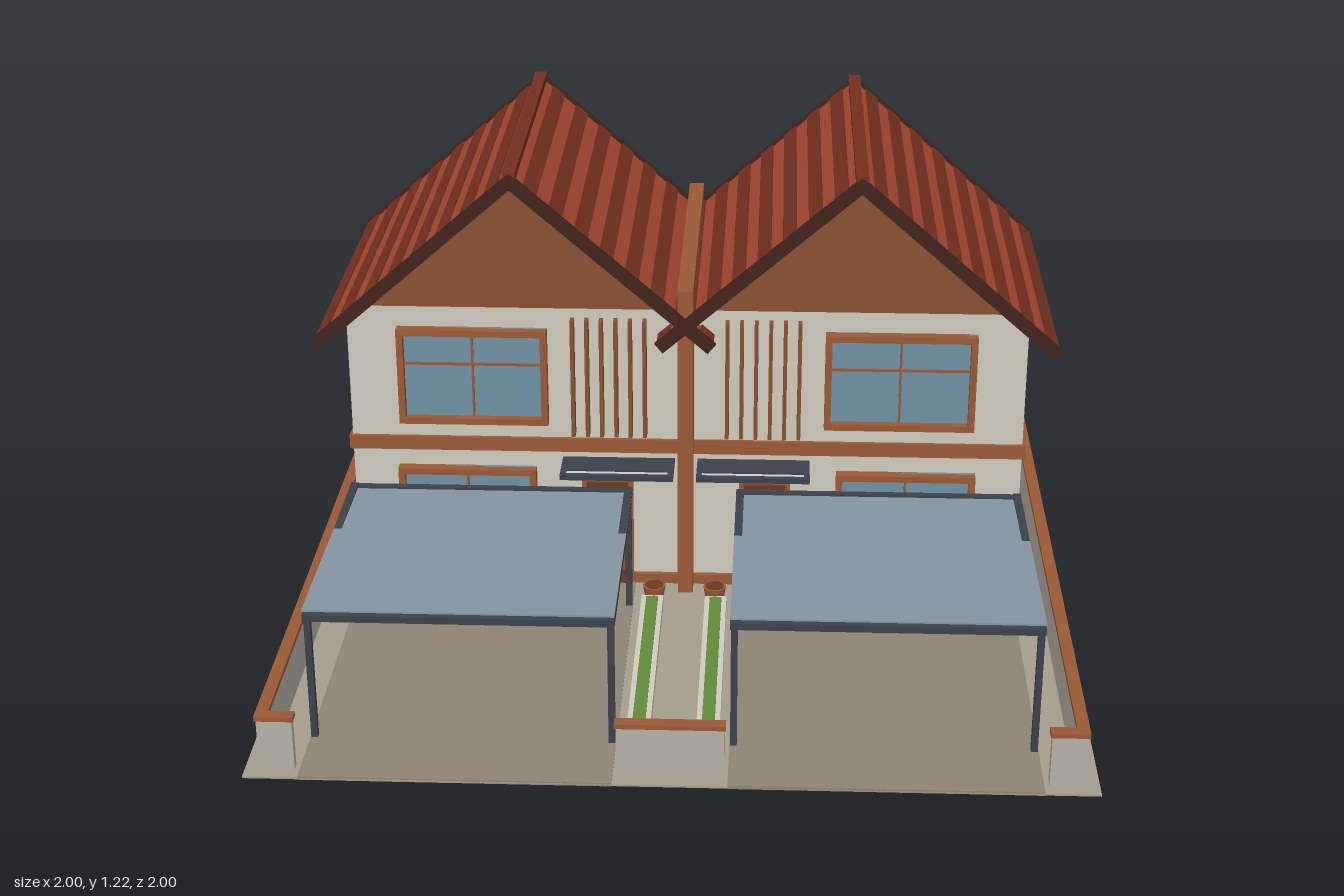
import * as THREE from 'three';

const COL = {
  wall: 0xcfcabd, trim: 0x9a5936, gable: 0x87502f, roof: 0xa3452f, tile: 0x73301f, dark: 0x40221a,
  glass: 0x6f91a5, metal: 0x3c414b, panel: 0x8496a3, paving: 0xa59e8e, drive: 0x8f8474,
  grass: 0x618a3a, fence: 0xb5b0a5, door: 0x6b3a22, leaf: 0x3d6a2c, light: 0xc4ced4,
};
const cache = {};
function mat(color) {
  return (cache[color] ??= new THREE.MeshStandardMaterial({ color, side: THREE.DoubleSide }));
}
function add(parent, name, geo, color) {
  const m = new THREE.Mesh(geo, mat(color));
  m.name = name;
  parent.add(m);
  return m;
}
// Box given by its limits
function box(parent, name, x0, x1, y0, y1, z0, z1, color) {
  const m = add(parent, name, new THREE.BoxGeometry(Math.abs(x1 - x0), y1 - y0, z1 - z0), color);
  m.position.set((x0 + x1) / 2, (y0 + y1) / 2, (z0 + z1) / 2);
  return m;
}
function group(parent, name) {
  const g = new THREE.Group();
  g.name = name;
  parent.add(g);
  return g;
}
function prism(points, z0, z1) {
  const s = new THREE.Shape(points.map(([x, y]) => new THREE.Vector2(x, y)));
  return new THREE.ExtrudeGeometry(s, { depth: z1 - z0, bevelEnabled: false }).translate(0, 0, z0);
}

// Framed front window with cross bars
function frontWindow(parent, s, x0, x1, y0, y1, barY) {
  const g = group(parent, 'frontWindow'), f = 0.017, mid = (x0 + x1) / 2;
  const b = (n, a, c, y, t, d, col) => box(g, n, s * a, s * c, y, t, -0.005, d, col);
  b('windowGlass', x0, x1, y0, y1, 0.008, COL.glass);
  b('frameSide', x0, x0 + f, y0, y1, 0.03, COL.trim);
  b('frameSide', x1 - f, x1, y0, y1, 0.03, COL.trim);
  b('frameTop', x0, x1, y1 - f, y1, 0.03, COL.trim);
  b('frameBottom', x0, x1, y0, y0 + f, 0.03, COL.trim);
  b('mullion', mid - 0.003, mid + 0.003, y0, y1, 0.014, COL.trim);
  b('crossBar', x0, x1, barY - 0.003, barY + 0.003, 0.014, COL.trim);
}

// Window in the outer side wall with dark frame and sill
function sideWindow(parent, s, y0, y1) {
  const g = group(parent, 'sideWindow'), z0 = -0.47, z1 = -0.28, f = 0.008;
  const b = (n, d, y, t, a, c, col) => box(g, n, s * 0.875, s * d, y, t, a, c, col);
  b('windowGlass', 0.884, y0, y1, z0, z1, COL.glass);
  for (const z of [z0, (z0 + z1 - f) / 2, z1 - f]) b('frameBar', 0.891, y0, y1, z, z + f, COL.metal);
  b('frameTop', 0.891, y1 - f, y1, z0, z1, COL.metal);
  b('sill', 0.9, y0 - 0.006, y0 + 0.005, z0 - 0.008, z1 + 0.008, COL.metal);
}

// Gabled roof with tile rows, barge boards and ridge cap
function roof(parent, cx) {
  const g = group(parent, 'roof');
  g.position.set(cx, 1.21, 0);
  const run = 0.51, drop = 0.445, len = Math.hypot(run, drop), rows = 8, step = len / rows;
  for (const side of [1, -1]) {
    const slope = group(g, 'roofSlope');
    slope.rotation.z = -side * Math.atan2(drop, run);
    box(slope, 'roofSlab', 0, side * len, -0.02, 0, -0.815, 0.062, COL.roof);
    for (let i = 0; i < rows; i++)
      box(slope, 'tileRow', side * (i + 0.5) * step, side * (i + 1) * step, -0.002, 0.005, -0.812, 0.06, COL.tile);
    for (const z of [-0.825, 0.058])
      box(slope, 'bargeBoard', -side * 0.004, side * (len + 0.004), -0.024, 0.008, z, z + 0.015, COL.dark);
  }
  box(g, 'ridgeCap', -0.016, 0.016, -0.008, 0.014, -0.82, 0.068, COL.tile);
}

// Carport: four posts, beam frame, tilted sheet
function carport(parent, s) {
  const g = group(parent, 'carport'), x0 = 0.135, x1 = 0.87, z0 = 0.12, z1 = 0.83, t = 0.02;
  for (const x of [x0, x1 - t]) {
    for (const z of [z0 + 0.01, z1 - t])
      box(g, 'post', s * (x + 0.002), s * (x + t - 0.002), 0.047, 0.37, z, z + 0.016, COL.metal);
    box(g, 'sideBeam', s * x, s * (x + t), 0.367, 0.386, z0, z1, COL.metal);
  }
  for (const z of [z0, z1 - t]) box(g, 'crossBeam', s * x0, s * x1, 0.367, 0.384, z, z + t, COL.metal);
  const sheet = add(g, 'roofSheet', new THREE.BoxGeometry(x1 - x0, 0.005, z1 - z0), COL.panel);
  sheet.position.set(s * (x0 + x1) / 2, 0.386, (z0 + z1) / 2);
  sheet.rotation.x = -0.028;
}

function doorAndCanopy(parent, s) {
  const d = group(parent, 'frontDoor');
  box(d, 'doorFrame', s * 0.14, s * 0.275, 0.05, 0.36, -0.005, 0.014, COL.trim);
  box(d, 'doorLeaf', s * 0.152, s * 0.263, 0.05, 0.348, 0, 0.02, COL.door);
  for (const x of [0.163, 0.213]) for (const y of [0.09, 0.22])
    box(d, 'doorPanel', s * x, s * (x + 0.038), y, y + 0.11, 0, 0.023, COL.gable);
  const c = group(parent, 'doorCanopy');
  box(c, 'canopyGlass', s * 0.04, s * 0.315, 0.403, 0.409, 0, 0.105, COL.light);
  box(c, 'canopyFront', s * 0.03, s * 0.325, 0.4, 0.414, 0.1, 0.115, COL.metal);
  box(c, 'canopyBack', s * 0.03, s * 0.325, 0.4, 0.414, 0, 0.078, COL.metal);
  for (const x of [0.03, 0.31]) box(c, 'canopySide', s * x, s * (x + 0.015), 0.4, 0.414, 0, 0.115, COL.metal);
  box(c, 'canopyBracket', s * 0.035, s * 0.18, 0.384, 0.402, 0, 0.05, COL.wall);
}

function waterTank(parent, x, color) {
  const g = group(parent, 'waterTank');
  g.position.set(x, 0, -0.875);
  box(g, 'tankStand', -0.065, 0.065, 0.045, 0.085, -0.06, 0.06, COL.metal);
  const profile = [[0, 0.085], [0.064, 0.085], [0.068, 0.1], [0.064, 0.125], [0.069, 0.14], [0.064, 0.165],
    [0.069, 0.18], [0.065, 0.195], [0.069, 0.21], [0.064, 0.222], [0.045, 0.236], [0.022, 0.243],
    [0.022, 0.254], [0, 0.256]].map(([r, y]) => new THREE.Vector2(r, y));
  add(g, 'tank', new THREE.LatheGeometry(profile, 28), color);
}

// Round pot with leaves drooping under it
function pottedPlant(parent, x, z) {
  const g = group(parent, 'pottedPlant');
  g.position.set(x, 0.047, z);
  add(g, 'pot', new THREE.CylinderGeometry(0.03, 0.022, 0.05, 16).translate(0, 0.025, 0), COL.trim);
  add(g, 'soil', new THREE.CylinderGeometry(0.024, 0.024, 0.004, 16).translate(0, 0.05, 0), COL.door);
  for (let i = 0; i < 14; i++) {
    const len = 0.05 + 0.005 * (i % 3);
    const leaf = new THREE.ConeGeometry(0.006, len, 4).translate(0, len / 2, 0);
    leaf.rotateX(Math.PI / 2 + 0.3 + 0.15 * (i % 5)).rotateY(i * 2.4);
    add(g, 'leaf', leaf, COL.leaf);
  }
}

// Boundary wall stretch with a coping
function fence(parent, x0, x1, z0, z1) {
  box(parent, 'boundaryWall', x0 + 0.004, x1 - 0.004, 0.045, 0.18, z0 + 0.004, z1 - 0.004, COL.fence);
  box(parent, 'coping', x0, x1, 0.178, 0.19, z0, z1, COL.trim);
}

function house(parent, s) {
  const g = group(parent, s > 0 ? 'leftHouse' : 'rightHouse'), cx = s * 0.44;
  add(g, 'walls', prism([[-0.44, 0.05], [0.44, 0.05], [0.44, 0.8], [0.42, 0.835], [-0.42, 0.835], [-0.44, 0.8]],
    -0.755, 0), COL.wall).position.x = cx;
  add(g, 'gable', prism([[-0.42, 0.835], [0.42, 0.835], [0, 1.193]], -0.755, 0), COL.gable).position.x = cx;
  box(g, 'floorBand', 0, s * 0.888, 0.432, 0.47, -0.763, 0.01, COL.trim);
  box(g, 'plinth', 0, s * 0.884, 0.04, 0.075, -0.758, 0.012, COL.trim);
  roof(g, cx);
  frontWindow(g, s, 0.36, 0.75, 0.515, 0.78, 0.68);
  frontWindow(g, s, 0.395, 0.76, 0.08, 0.385, 0.25);
  sideWindow(g, s, 0.525, 0.715);
  sideWindow(g, s, 0.15, 0.34);
  for (let i = 0; i < 6; i++) {
    const x = 0.107 + i * 0.0374;
    box(g, 'slat', s * (x - 0.005), s * (x + 0.005), 0.485, 0.81, -0.005, 0.03, COL.gable);
  }
  doorAndCanopy(g, s);
  carport(g, s);
}

export function createModel() {
  const root = new THREE.Group();
  root.name = 'semiDetachedHouses';

  // Ground
  box(root, 'paving', -1, 1, 0.042, 0.047, -0.76, 1, COL.paving);
  box(root, 'backLawn', -1, 1, 0.042, 0.048, -1, -0.76, COL.grass);

  for (const s of [1, -1]) {
    house(root, s);
    box(root, 'driveway', s * 0.135, s * 0.87, 0.041, 0.05, 0.012, 1, COL.drive);
    // Long planter beside the drive
    const p = group(root, 'planter');
    box(p, 'planterBox', s * 0.055, s * 0.112, 0.045, 0.08, 0.14, 0.83, COL.wall);
    box(p, 'planterGrass', s * 0.068, s * 0.099, 0.05, 0.085, 0.155, 0.815, COL.grass);
    pottedPlant(root, s * 0.08, 0.115);
    fence(root, s > 0 ? 0.94 : -0.97, s > 0 ? 0.97 : -0.94, -0.97, 0.97);
    fence(root, s > 0 ? 0.878 : -0.97, s > 0 ? 0.97 : -0.878, 0.94, 0.97);
  }
  fence(root, -0.97, 0.97, -0.97, -0.94);
  fence(root, -0.13, 0.13, 0.94, 0.97);

  // Party wall between the houses
  box(root, 'partyWall', -0.02, 0.02, 0.045, 0.91, -0.785, 0.062, COL.trim);

  // Back yard
  waterTank(root, -0.807, 0x3a5f98);
  waterTank(root, 0.803, 0xb9bbbd);
  pottedPlant(root, 0, -0.885);
  const crate = group(root, 'backPlanter');
  box(crate, 'planterBox', 0.335, 0.465, 0.045, 0.1, -0.922, -0.848, COL.trim);
  for (const x of [0.362, 0.4, 0.438])
    add(crate, 'plantHole', new THREE.CylinderGeometry(0.01, 0.01, 0.006, 12), COL.door).position.set(x, 0.101, -0.885);
  return root;
}
